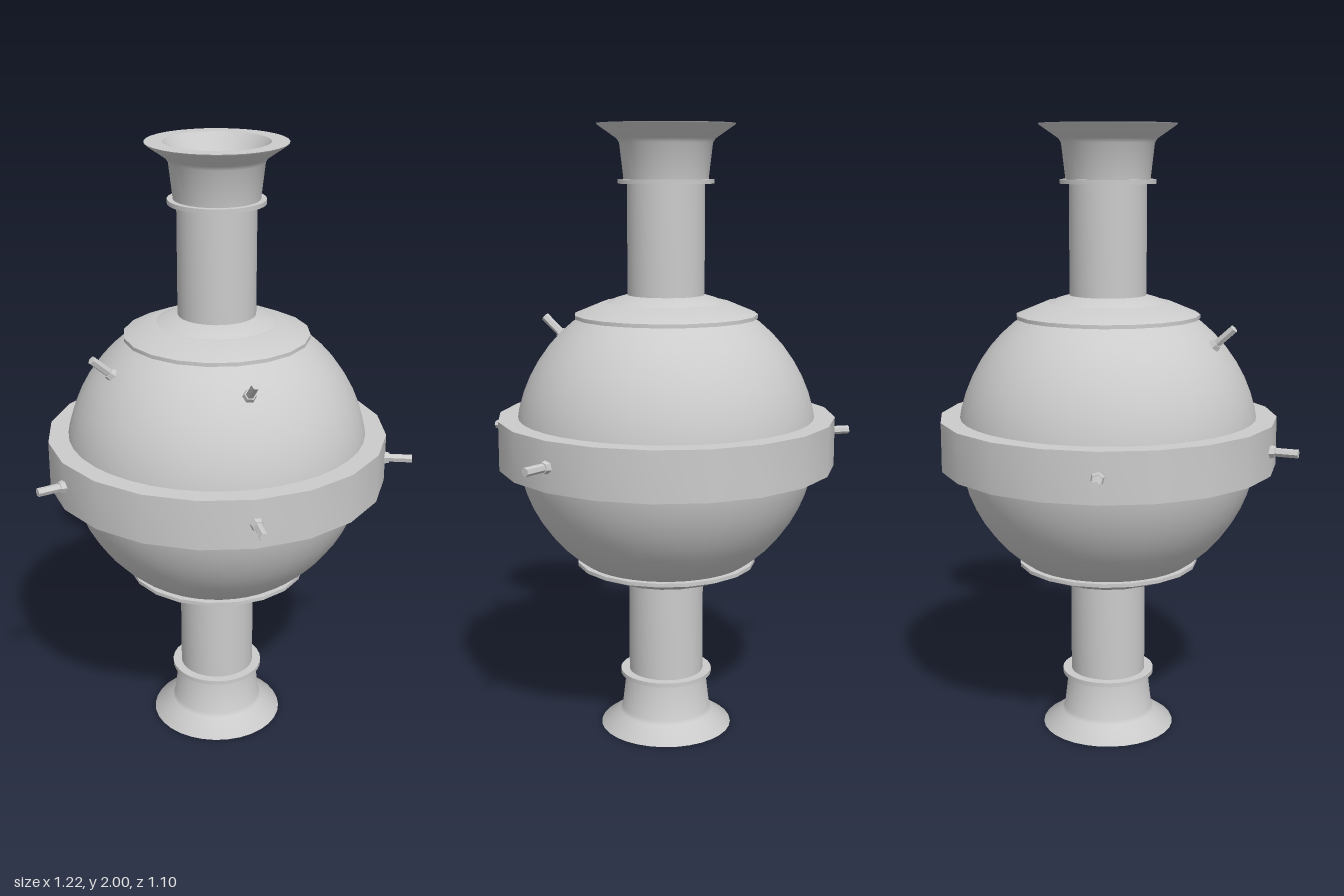
import * as THREE from 'three';
import { toCreasedNormals } from 'three/addons/utils/BufferGeometryUtils.js';

const CENTER_Y = 0.99;

export function createModel() {
  const root = new THREE.Group();
  const material = new THREE.MeshStandardMaterial({ color: 0xcccccc });

  const add = (name, geometry, parent = root) => {
    const mesh = new THREE.Mesh(geometry, material);
    mesh.name = name;
    parent.add(mesh);
    return mesh;
  };

  // Turned part from [radius, height] pairs, listed so the outside runs upward
  const turned = (name, profile, sides = 20) => {
    const points = profile.map(([r, y]) => new THREE.Vector2(r, y));
    return add(name, toCreasedNormals(new THREE.LatheGeometry(points, sides), 0.6));
  };

  // Mirrors a profile top to bottom about a height, keeping the faces outward
  const flip = (profile, y0) => profile.map(([r, y]) => [r, 2 * y0 - y]).reverse();

  // Spherical body
  add('body', new THREE.SphereGeometry(0.49, 40, 28)).position.y = CENTER_Y;

  // Equatorial belt
  turned('belt', [[0.45, 0.91], [0.55, 0.91], [0.55, 1.07], [0.45, 1.07]]);

  // Sloped collars around both poles
  const collar = [[0.25, 1.39], [0.297, 1.39], [0.297, 1.402], [0.205, 1.44], [0.18, 1.44]];
  turned('upperCollar', collar);
  turned('lowerCollar', flip(collar, 0.988));

  // Necks
  const neck = [[0.124, 1.4], [0.124, 1.83]];
  turned('upperNeck', neck, 32);
  turned('lowerNeck', flip(neck, 1), 32);

  // Thin rings where the necks meet the flares
  const ring = [[0.11, 1.814], [0.153, 1.814], [0.153, 1.828], [0.11, 1.828]];
  turned('upperRing', ring, 32);
  turned('lowerRing', flip(ring, 1.004), 32);

  // Flares: the upper one is hollowed into a cup, the lower one is closed
  const flare = [[0.134, 1.82], [0.148, 1.94], [0.156, 1.953], [0.218, 1.996], [0.22, 2]];
  turned('upperFlare', [...flare, [0.165, 2], [0.102, 1.91], [0, 1.91]], 32);
  turned('lowerFlare', [[0, 0], ...flip(flare, 1)], 32);

  // Small hexagonal studs pointing away from the body centre
  const up = new THREE.Vector3(0, 1, 0);
  const addStud = (name, azimuth, elevation, radius) => {
    const a = THREE.MathUtils.degToRad(azimuth);
    const e = THREE.MathUtils.degToRad(elevation);
    const dir = new THREE.Vector3(
      Math.cos(a) * Math.cos(e), Math.sin(e), Math.sin(a) * Math.cos(e));
    const stud = new THREE.Group();
    stud.name = name;
    stud.position.copy(dir).multiplyScalar(radius);
    stud.position.y += CENTER_Y;
    stud.quaternion.setFromUnitVectors(up, dir);
    const hex = (part, rTop, rBottom, length, y) => {
      const g = new THREE.CylinderGeometry(rTop, rBottom, length, 6).translate(0, y, 0);
      add(part, toCreasedNormals(g, 0.3), stud);
    };
    hex('studBase', 0.018, 0.025, 0.03, 0.002);
    hex('studPin', 0.014, 0.014, 0.1, 0.04);
    root.add(stud);
  };

  for (const [side, mirror] of [['left', false], ['right', true]]) {
    const az = (deg) => (mirror ? 180 - deg : deg);
    addStud(side + 'BackBeltStud', az(-18), 0, 0.547);
    addStud(side + 'FrontBeltStud', az(54), 0, 0.547);
    addStud(side + 'UpperStud', az(51), 42, 0.487);
  }

  return root;
}
